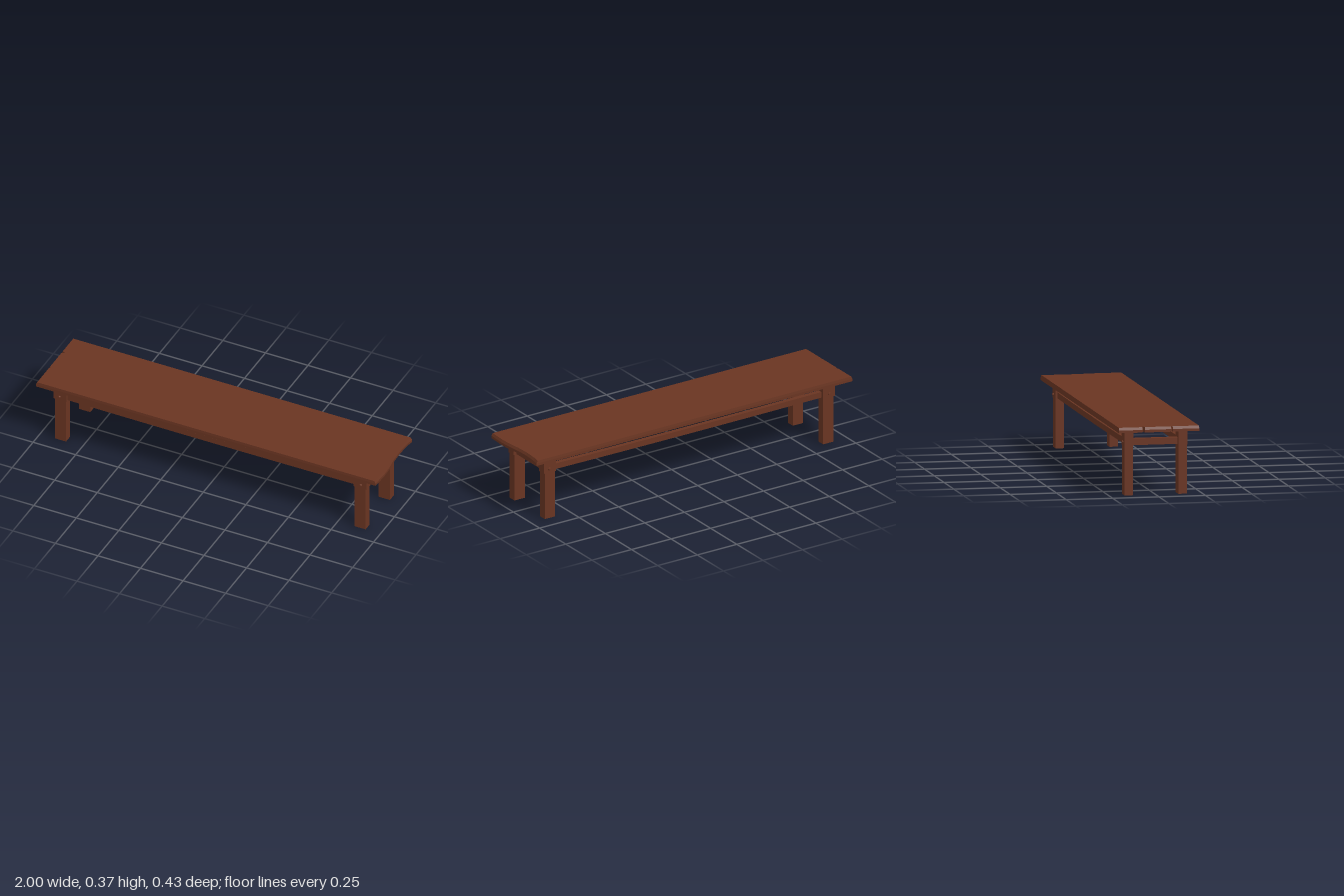
import * as THREE from 'three';

const wood = new THREE.MeshStandardMaterial({ color: 0x6a3522 });
wood.name = 'brown wood';

export function createModel() {
  const group = new THREE.Group();
  group.name = 'bench';

  const add = (name, geometry, x = 0, y = 0, z = 0) => {
    const mesh = new THREE.Mesh(geometry, wood);
    mesh.name = name;
    mesh.position.set(x, y, z);
    group.add(mesh);
    return mesh;
  };
  const box = (name, w, h, d, x, y, z) => add(name, new THREE.BoxGeometry(w, h, d), x, y, z);

  // A long bar with a slight sag towards its middle
  const sagBar = (name, w, h, d, x, y, z, sag) => {
    const g = new THREE.BoxGeometry(w, h, d, 8, 1, 1);
    const p = g.attributes.position;
    for (let i = 0; i < p.count; i++) {
      const t = p.getX(i) / (w / 2);
      p.setY(i, p.getY(i) - sag * (1 - t * t));
    }
    g.computeVertexNormals();
    return add(name, g, x, y, z);
  };

  // Seat plank: worn ends with a split, upper edges leaning inwards
  const outline = [
    [-1, -0.217], [0.995, -0.217], [1, -0.12], [0.997, -0.05], [0.988, 0.02], [0.985, 0.1],
    [0.99, 0.18], [0.997, 0.217], [-1, 0.217],
    [-1, 0.09], [-0.98, 0.083], [-1, 0.076], [-1, -0.066], [-0.993, -0.07], [-1, -0.075],
  ];
  const shape = new THREE.Shape(outline.map(([x, y]) => new THREE.Vector2(x, y)));
  const plank = new THREE.ExtrudeGeometry(shape, { depth: 0.028, steps: 2, bevelEnabled: false });
  plank.rotateX(-Math.PI / 2);
  const p = plank.attributes.position;
  for (let i = 0; i < p.count; i++) {
    if (p.getY(i) > 0.02) {
      p.setX(i, p.getX(i) - 0.007 * Math.sign(p.getX(i)));
      p.setZ(i, p.getZ(i) * 0.993);
    }
  }
  plank.computeVertexNormals();
  add('seatPlank', plank, 0, 0.345, 0);

  // Thin board below the seat
  sagBar('underBoard', 1.68, 0.01, 0.3, 0, 0.341, 0, 0.003);

  for (const sx of [-1, 1]) {
    // End stretcher between the two legs
    box('endStretcher', 0.03, 0.035, 0.25, sx * 0.885, 0.282, 0);
    for (const sz of [-1, 1]) {
      box('leg', 0.066, 0.345, 0.046, sx * 0.88, 0.1725, sz * 0.145);
      // Wider joint block at the head of the leg
      box('legHead', 0.076, 0.082, 0.049, sx * 0.881, 0.304, sz * 0.1455);
      // Round peg through the joint
      const peg = add('peg', new THREE.CylinderGeometry(0.006, 0.009, 0.01, 10), sx * 0.885, 0.283, sz * 0.172);
      peg.rotation.x = sz * Math.PI / 2;
    }
  }

  // Long rails joining the legs
  for (const sz of [-1, 1]) sagBar('longRail', 1.7, 0.032, 0.026, 0, 0.283, sz * 0.145, 0.003);

  return group;
}
